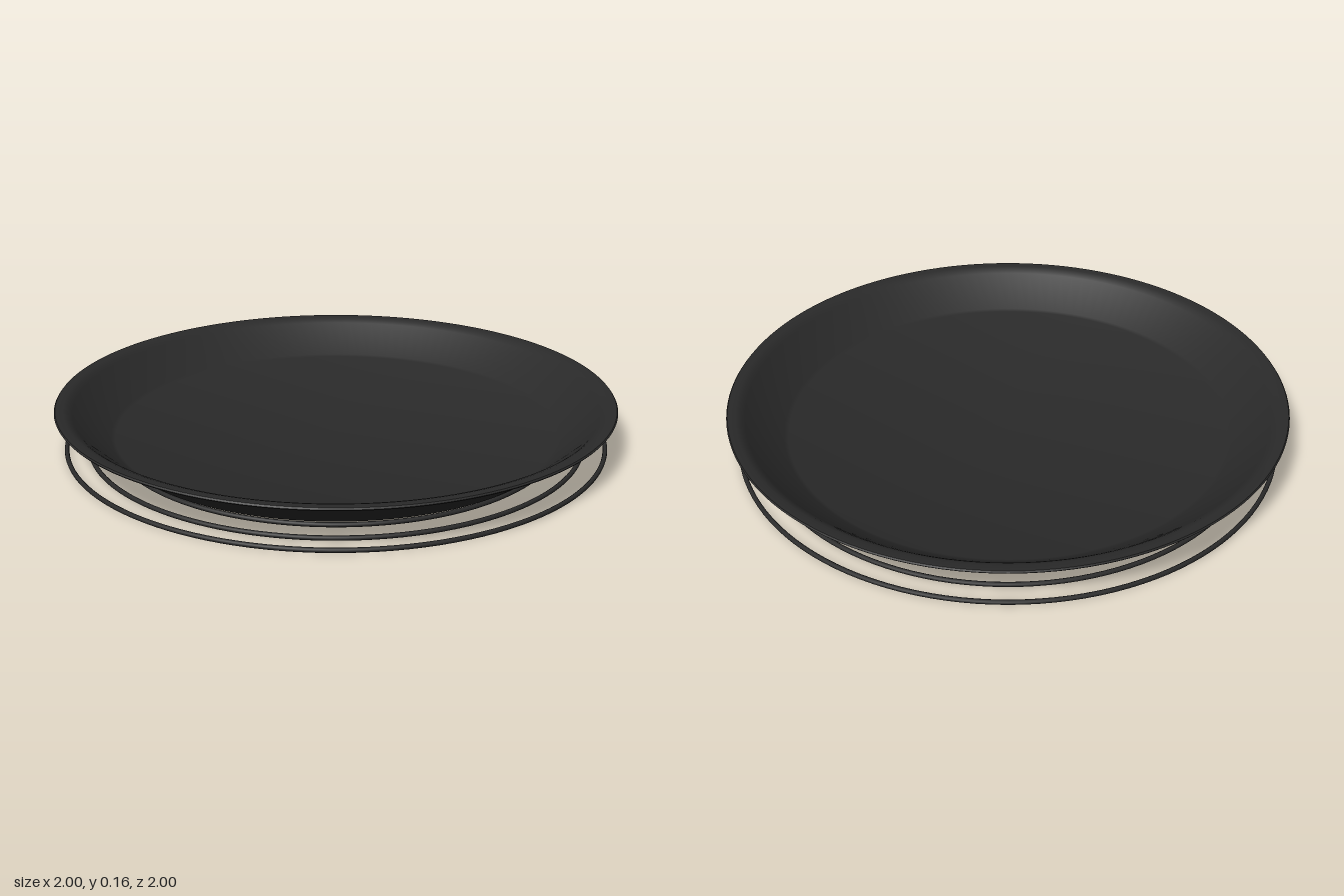
import * as THREE from 'three';
import { toCreasedNormals } from 'three/addons/utils/BufferGeometryUtils.js';

export function createModel() {
  const model = new THREE.Group();
  const charcoal = new THREE.MeshStandardMaterial({ color: 0x2a2a2a });
  charcoal.name = 'charcoal';

  // Shallow dish: underside, sloping wall, flat rim, then back down the inside
  const profile = [
    [0, 0.02], [0.8, 0.02], [0.808, 0.024],
    [0.945, 0.132], [0.957, 0.142], [0.97, 0.147],
    [0.996, 0.148], [1, 0.153], [0.996, 0.158],
    [0.968, 0.157], [0.952, 0.151], [0.938, 0.14],
    [0.812, 0.036], [0.797, 0.03], [0, 0.03],
  ].map(([r, y]) => new THREE.Vector2(r, y));
  const dish = new THREE.Mesh(
    toCreasedNormals(new THREE.LatheGeometry(profile, 128), 0.6), charcoal);
  dish.name = 'dish';
  model.add(dish);

  // Concentric wire rings lying under the dish
  const rings = new THREE.Group();
  rings.name = 'baseRings';
  const tube = 0.008;
  [0.645, 0.797, 0.887, 0.966].forEach((radius, i) => {
    const ring = new THREE.Mesh(new THREE.TorusGeometry(radius, tube, 10, 128), charcoal);
    ring.name = `baseRing${i + 1}`;
    ring.rotation.x = Math.PI / 2;
    ring.position.y = tube;
    rings.add(ring);
  });
  model.add(rings);

  return model;
}
